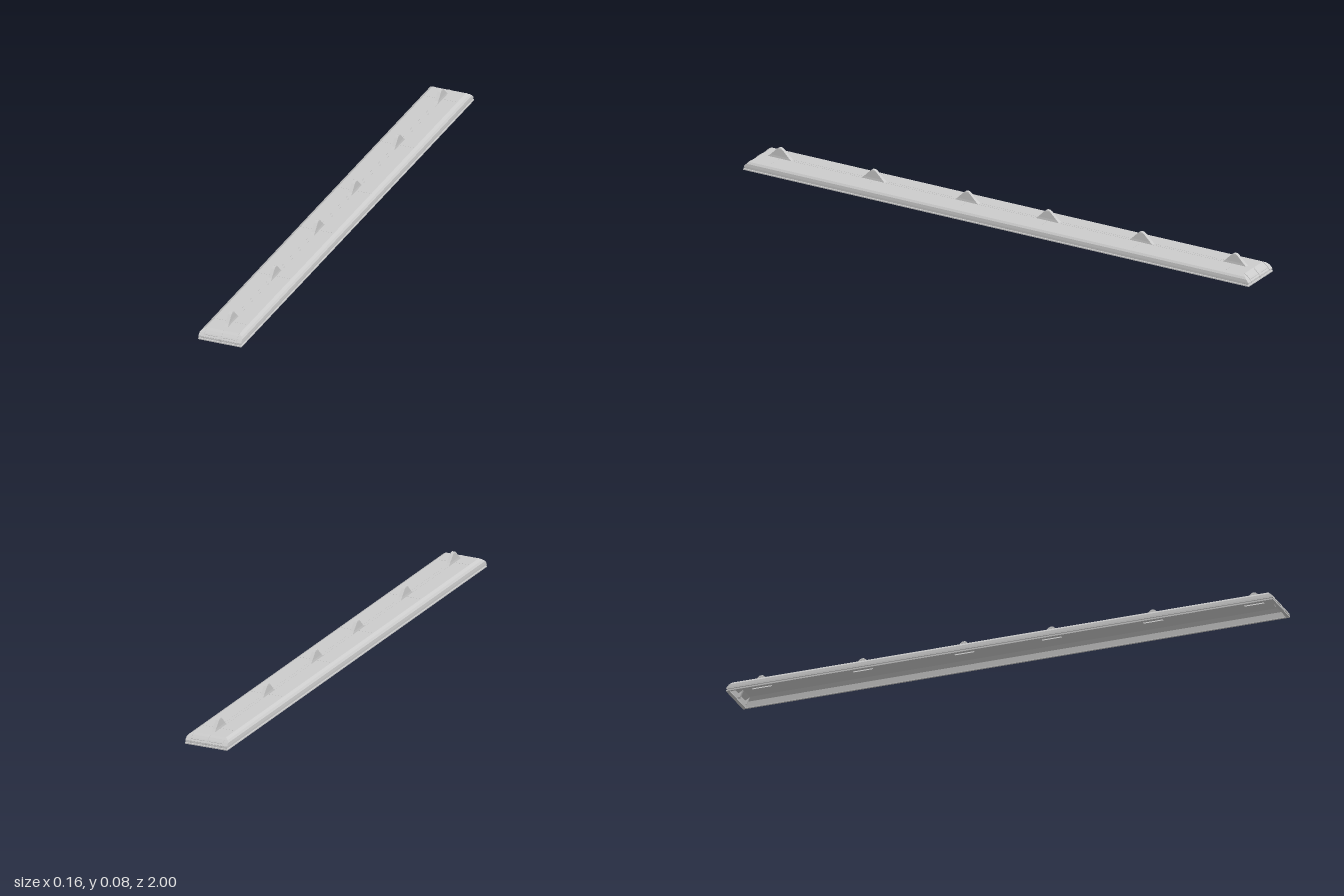
import * as THREE from 'three';

const mat = new THREE.MeshStandardMaterial({ color: 0xcccccc, flatShading: true, side: THREE.DoubleSide });
const TOP = 0.037, CEIL = 0.032;
const finZ = [-0.9, -0.53, -0.16, 0.16, 0.53, 0.9];

// Joins rectangular loops [halfX, halfZ, y] into one skin
function rectLoft(levels, close = false) {
  const pos = [], idx = [];
  for (const [x, z, y] of levels) pos.push(x, y, z, x, y, -z, -x, y, -z, -x, y, z);
  for (let l = 0; l < levels.length - 1; l++) {
    for (let i = 0; i < 4; i++) {
      const a = l * 4 + i, b = l * 4 + (i + 1) % 4;
      idx.push(a, b, b + 4, a, b + 4, a + 4);
    }
  }
  if (close) {
    const t = (levels.length - 1) * 4;
    idx.push(t, t + 1, t + 2, t, t + 2, t + 3);
  }
  const g = new THREE.BufferGeometry();
  g.setAttribute('position', new THREE.Float32BufferAttribute(pos, 3));
  g.setIndex(idx);
  const flat = g.toNonIndexed();
  flat.computeVertexNormals();
  return flat;
}

function rect(path, hx, hz, cz = 0) {
  path.moveTo(-hx, cz - hz);
  path.lineTo(hx, cz - hz);
  path.lineTo(hx, cz + hz);
  path.lineTo(-hx, cz + hz);
  path.closePath();
  return path;
}

export function createModel() {
  const model = new THREE.Group();
  const add = (name, geo, parent = model) => {
    const m = new THREE.Mesh(geo, mat);
    m.name = name;
    parent.add(m);
    return m;
  };
  const box = (name, w, h, d, x, y, z, parent) =>
    add(name, new THREE.BoxGeometry(w, h, d), parent).position.set(x, y, z);

  // Hollow rim: inner wall down, bottom lip, groove, outer wall and chamfers up
  add('shellRim', rectLoft([
    [0.057, 0.966, CEIL], [0.071, 0.984, 0.022], [0.073, 0.988, 0.003], [0.073, 0.988, 0],
    [0.08, 1, 0], [0.08, 1, 0.004], [0.077, 0.996, 0.005], [0.077, 0.996, 0.007],
    [0.079, 0.999, 0.008], [0.079, 0.998, 0.014], [0.078, 0.989, 0.024],
    [0.073, 0.981, 0.031], [0.062, 0.972, TOP],
  ]));

  // Top deck and its underside, slotted below each hollow fin
  for (const [name, hx, hz, y] of [['topDeck', 0.062, 0.972, TOP], ['deckUnderside', 0.057, 0.966, CEIL]]) {
    const s = rect(new THREE.Shape(), hx, hz);
    for (const z of finZ) s.holes.push(rect(new THREE.Path(), 0.0045, 0.036, z));
    const g = new THREE.ShapeGeometry(s);
    g.rotateX(name === 'topDeck' ? -Math.PI / 2 : Math.PI / 2);
    add(name, g).position.y = y;
  }

  // Hollow ridge fins with a seam across the deck at each
  for (const z of finZ) {
    const fin = new THREE.Group();
    fin.name = 'fin';
    fin.position.z = z;
    model.add(fin);
    add('finShell', rectLoft([
      [0.0045, 0.036, CEIL], [0.007, 0.046, TOP], [0.0062, 0.036, 0.045],
      [0.006, 0.012, 0.069], [0.0055, 0.006, 0.0735], [0.004, 0.002, 0.075],
    ], true), fin);
    for (const s of [-1, 1]) box('crossSeam', 0.054, 0.0008, 0.003, s * 0.034, TOP, 0, fin);
  }

  // Twin lengthwise seams between neighbouring fins
  for (let i = 0; i < finZ.length - 1; i++) {
    const len = finZ[i + 1] - finZ[i] - 0.1;
    for (const s of [-1, 1]) {
      box('lengthSeam', 0.0015, 0.0008, len, s * 0.006, TOP, (finZ[i] + finZ[i + 1]) / 2);
    }
  }

  // End details: centre rib, corner ribs and a framed slot on either side
  for (const s of [-1, 1]) {
    const end = new THREE.Group();
    end.name = 'endDetail';
    end.rotation.y = s > 0 ? 0 : Math.PI;
    model.add(end);
    const profile = new THREE.Shape([
      [0.98, 0.006], [0.999, 0.006], [0.9995, 0.014], [0.991, 0.0245], [0.983, 0.0315],
      [0.973, 0.0373], [0.966, 0.034],
    ].map(([z, y]) => new THREE.Vector2(z, y)));
    for (const [name, x, w] of [['centreRib', 0, 0.008], ['cornerRib', -0.06, 0.002], ['cornerRib', 0.06, 0.002]]) {
      const g = new THREE.ExtrudeGeometry(profile, { depth: w, bevelEnabled: false });
      g.rotateY(-Math.PI / 2);
      g.translate(x + w / 2, 0, 0);
      add(name, g, end);
    }
    for (const x of [-0.034, 0.034]) {
      for (const y of [0.0125, 0.0195]) box('slotEdge', 0.05, 0.0014, 0.006, x, y, y < 0.015 ? 0.9965 : 0.991, end);
    }
  }
  return model;
}
